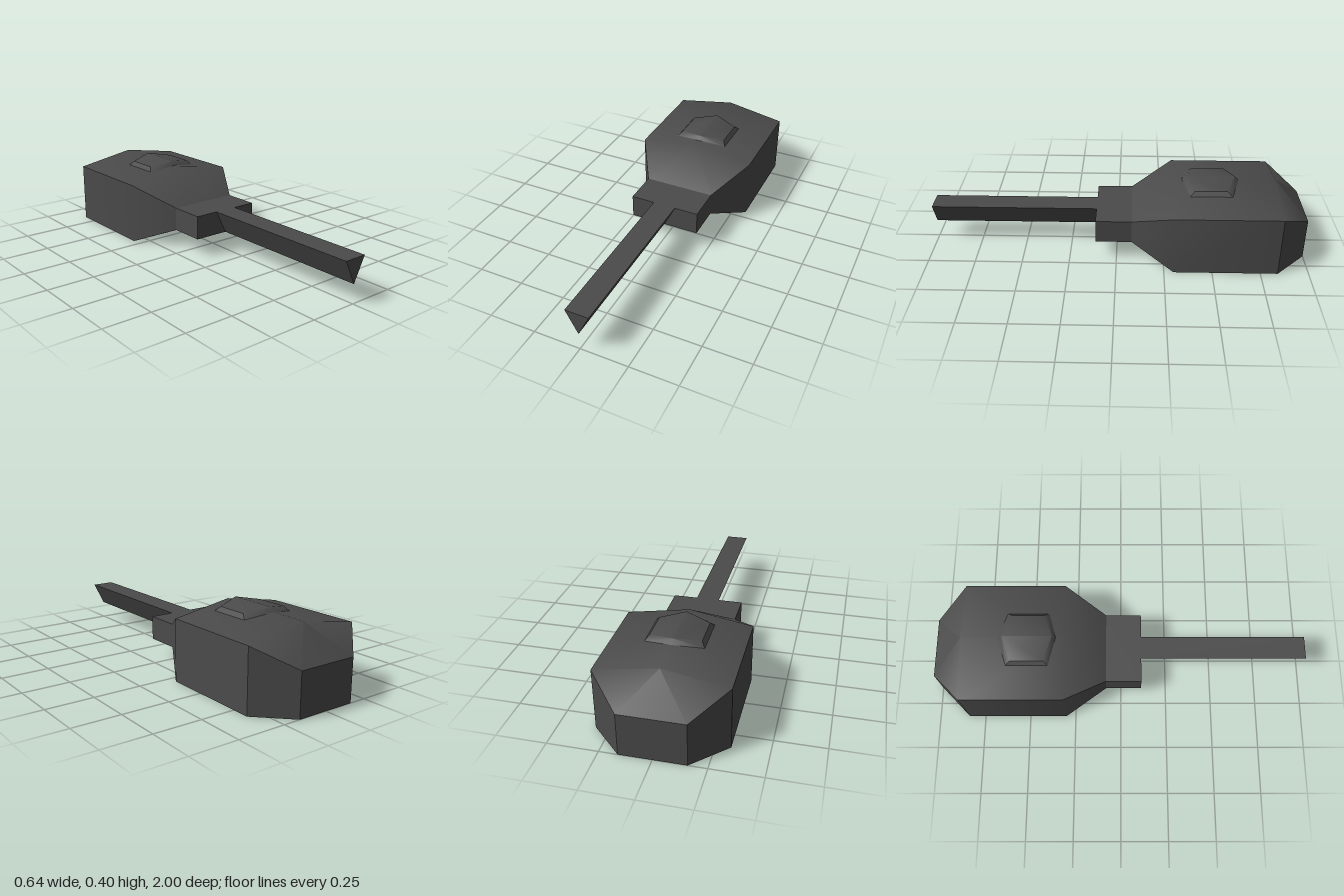
import * as THREE from 'three';
import { ConvexGeometry } from 'three/addons/geometries/ConvexGeometry.js';
import { toCreasedNormals } from 'three/addons/utils/BufferGeometryUtils.js';

// Convex solid from half its corners; corners off the centre line are mirrored in x
function mirroredSolid(corners, crease) {
  const points = [];
  for (const [x, y, z] of corners) {
    points.push(new THREE.Vector3(x, y, z));
    if (x > 0) points.push(new THREE.Vector3(-x, y, z));
  }
  return toCreasedNormals(new ConvexGeometry(points), THREE.MathUtils.degToRad(crease));
}

export function createModel() {
  const group = new THREE.Group();
  group.name = 'turret';
  const steel = new THREE.MeshStandardMaterial({ color: 0x4b4b4b });
  steel.name = 'dark steel';

  const add = (name, geometry) => {
    const mesh = new THREE.Mesh(geometry, steel);
    mesh.name = name;
    group.add(mesh);
    return mesh;
  };

  // Turret shell: narrow nose, wide middle with ridged roof, tapered rear
  add('turretShell', mirroredSolid([
    [0.19, 0.097, -0.08], [0.19, 0.222, -0.08],
    [0.322, 0, -0.3], [0.322, 0.322, -0.3], [0, 0.377, -0.3],
    [0.322, 0, -0.84], [0.322, 0.322, -0.84], [0, 0.377, -0.84],
    [0.16, 0, -1], [0.16, 0.222, -1],
  ], 44));

  // Hatch: six-sided bevelled plate following the roof ridge
  add('hatch', mirroredSolid([
    [0.145, 0.352, -0.38], [0.145, 0.352, -0.6],
    [0, 0.376, -0.34], [0, 0.376, -0.645],
    [0.127, 0.375, -0.405], [0.127, 0.375, -0.575],
    [0, 0.398, -0.36], [0, 0.398, -0.62],
  ], 40));

  // Gun mantlet
  add('mantlet', new THREE.BoxGeometry(0.38, 0.125, 0.19)).position.set(0, 0.1595, 0.015);

  // Barrel: three-sided, flat side up
  add('barrel', mirroredSolid([
    [0.062, 0.222, 0.11], [0, 0.097, 0.11],
    [0.062, 0.222, 1], [0, 0.097, 1],
  ], 30));

  return group;
}
